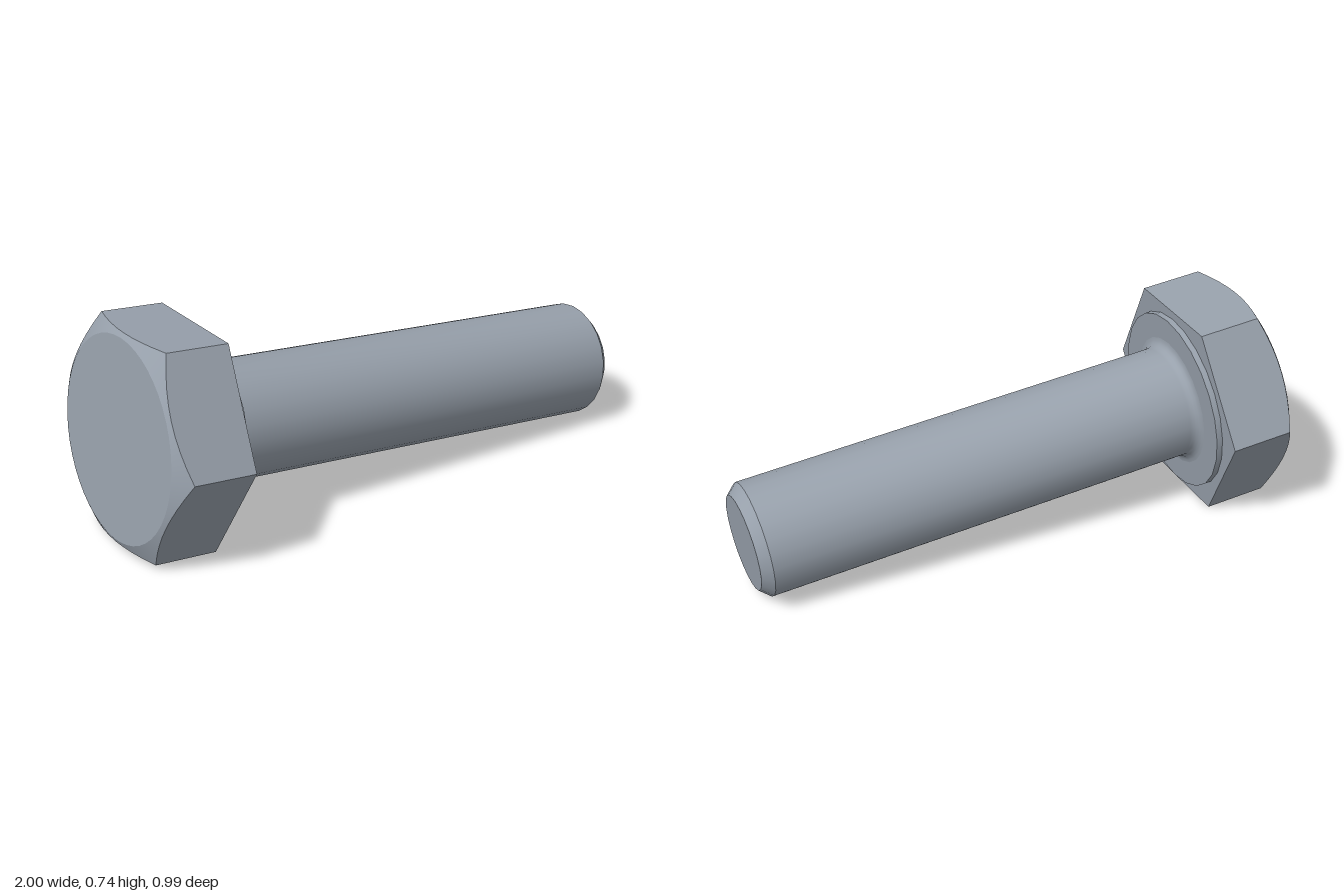
import * as THREE from 'three';
import { toCreasedNormals } from 'three/addons/utils/BufferGeometryUtils.js';

const AXIS = new THREE.Vector3(1, -0.096, 0.213).normalize();
const APOTHEM = 0.361;   // half the width across flats
const FACE_R = 0.345;    // flat circle on the outer face of the head
const HEAD_BACK = -0.947, HEAD_FRONT = -0.682, WASHER_FRONT = -0.66;
const SHANK_R = 0.204, TIP = 0.987;

// Hexagonal head whose outer corners are cut by a 30 degree cone
function headGeometry() {
  const pos = [];
  const tri = (...pts) => pts.forEach((p) => pos.push(...p));
  const quad = (a, b, c, d) => { tri(a, b, c); tri(a, c, d); };
  const at = (r, y, a) => [r * Math.cos(a), y, r * Math.sin(a)];
  const steps = 8, n = 6 * steps;
  const ring = (i) => {
    const a = (i / n) * Math.PI * 2;
    const offset = ((i % steps) / steps - 0.5) * Math.PI / 3;
    const r = APOTHEM / Math.cos(offset);
    const drop = (r - FACE_R) * Math.tan(Math.PI / 6);
    return {
      disc: at(FACE_R, HEAD_BACK, a),
      edge: at(r, HEAD_BACK + drop, a),
      front: at(r, HEAD_FRONT, a),
    };
  };
  for (let i = 0; i < n; i++) {
    const p = ring(i), q = ring((i + 1) % n);
    tri([0, HEAD_BACK, 0], p.disc, q.disc);
    quad(p.disc, p.edge, q.edge, q.disc);
    quad(p.edge, p.front, q.front, q.edge);
    tri([0, HEAD_FRONT, 0], q.front, p.front);
  }
  const geo = new THREE.BufferGeometry();
  geo.setAttribute('position', new THREE.Float32BufferAttribute(pos, 3));
  return toCreasedNormals(geo, 0.3);
}

// Turned part with crisp edges
function turned(points) {
  const profile = points.map(([r, y]) => new THREE.Vector2(r, y));
  return toCreasedNormals(new THREE.LatheGeometry(profile, 24), 0.5);
}

export function createModel() {
  const steel = new THREE.MeshStandardMaterial({ color: 0x98a1ac });
  steel.name = 'steel';

  const model = new THREE.Group();
  model.name = 'hexBolt';
  const bolt = new THREE.Group();
  bolt.name = 'tiltedBolt';
  const add = (name, geo) => {
    const mesh = new THREE.Mesh(geo, steel);
    mesh.name = name;
    bolt.add(mesh);
  };

  add('head', headGeometry());

  // Raised bearing face under the head
  add('washerFace', turned([[0.33, HEAD_FRONT], [0.33, WASHER_FRONT], [0.2, WASHER_FRONT]]));

  // Shank with a fillet at the head and a chamfered tip
  const fillet = 0.035, shank = [];
  for (let i = 0; i <= 5; i++) {
    const a = (i / 5) * Math.PI / 2;
    shank.push([
      SHANK_R + fillet * (1 - Math.sin(a)),
      WASHER_FRONT + fillet * (1 - Math.cos(a)),
    ]);
  }
  shank.push([SHANK_R, TIP - 0.037], [0.17, TIP], [0, TIP]);
  add('shank', turned(shank));

  // Lay the bolt along its axis, with two head corners level
  const side = new THREE.Vector3(AXIS.z, 0, -AXIS.x).normalize();
  const third = new THREE.Vector3().crossVectors(side, AXIS);
  bolt.quaternion.setFromRotationMatrix(new THREE.Matrix4().makeBasis(side, AXIS, third));
  bolt.position.set(0, 0.296, 0.096);
  model.add(bolt);
  return model;
}
